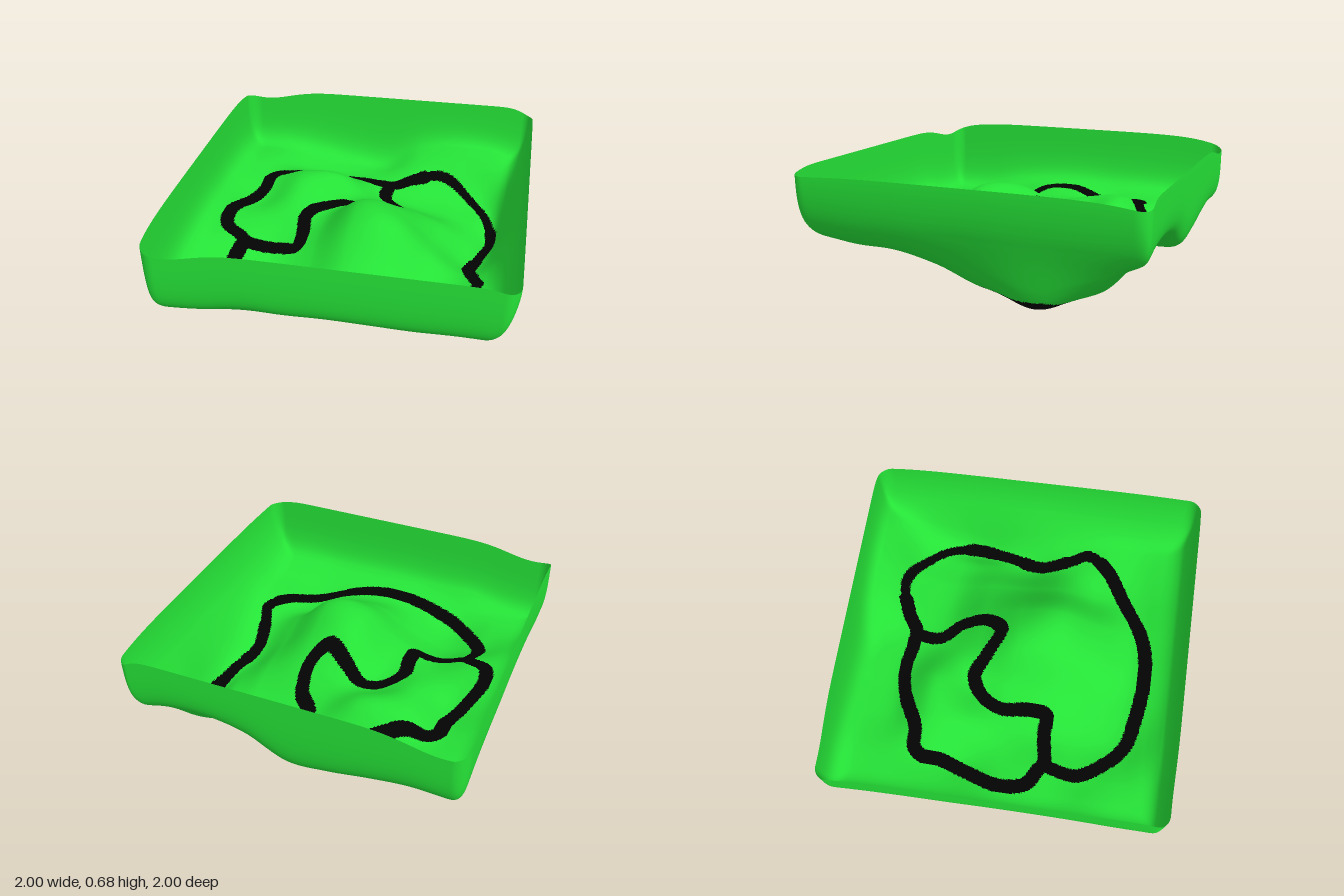
import * as THREE from 'three';

const N = 260;          // cells per side of the sheet
const SPAN = 1.2;       // unfolded half width, floor plus turned-up wall
const STEP = 0.235;     // spacing of the coarse height grid
const CORNER = 0.08;    // plan radius of the four corners

// Where the floor bends into each wall, and how sharply
const steepWall = { floor: 0.85, power: 3 };
const leaningWall = { floor: 0.8, power: 1.5 };

// Coarse floor heights: one row per z (back to front), one column per x
const heights = [
  [.24, .25, .22, .18, .17, .30, .35, .34, .28],
  [.27, .25, .20, .18, .18, .18, .15, .12, .27],
  [.28, .25, .33, .33, .20, .14, .10, .08, .27],
  [.28, .22, .31, .25, .30, .28, .18, .07, .27],
  [.29, .26, .25, .27, .45, .41, .21, .06, .27],
  [.28, .25, .19, .26, .45, .46, .26, .15, .26],
  [.25, .17, .12, .19, .32, .31, .18, .21, .26],
  [.20, .18, .12, .17, .21, .21, .19, .22, .26],
  [.19, .21, .25, .25, .26, .26, .26, .27, .27],
];

// Centre lines of the track as x, z pairs
const loopPoints = [
  [.1, -.66], [.2, -.72], [.4, -.78], [.58, -.71], [.73, -.56], [.79, -.38], [.75, -.15],
  [.69, .08], [.73, .27], [.76, .36], [.68, .49], [.45, .64], [.2, .77], [-.05, .8],
  [-.3, .77], [-.46, .73], [-.6, .6], [-.69, .45], [-.68, .32], [-.67, .25], [-.8, .16],
  [-.83, 0], [-.77, -.2], [-.72, -.35], [-.71, -.48], [-.66, -.53], [-.55, -.54],
  [-.35, -.64], [-.18, -.68], [0, -.66],
];
const innerPoints = [
  [.07, -.65], [.07, -.5], [.17, -.37], [.18, -.2], [.1, -.11], [-.03, -.17], [-.17, -.24],
  [-.3, -.17], [-.36, -.05], [-.34, .1], [-.35, .23], [-.45, .23], [-.66, .26],
];

const cubic = (a, b, c, d, t) =>
  b + 0.5 * t * (c - a + t * (2 * a - 5 * b + 4 * c - d + t * (3 * (b - c) + d - a)));

const bump = (x, centre, radius) => Math.exp(-(((x - centre) / radius) ** 2));

// Smooth floor height, with a deep pocket under the right bend
function floorHeight(x, z) {
  const clamp = THREE.MathUtils.clamp;
  const gx = clamp(x / STEP + 4, 0, 7.999), gz = clamp(z / STEP + 4, 0, 7.999);
  const i = Math.floor(gx), j = Math.floor(gz);
  const at = (r, c) => heights[clamp(r, 0, 8)][clamp(c, 0, 8)];
  const row = (r) => cubic(at(r, i - 1), at(r, i), at(r, i + 1), at(r, i + 2), gx - i);
  const y = cubic(row(j - 1), row(j), row(j + 1), row(j + 2), gz - j);
  return y - 0.14 * bump(x, 0.8, 0.09) * bump(z, -0.36, 0.24);
}

// Wavy top edge, lower towards the corners
function rimHeight(x, z) {
  const ends = 0.66 + 0.015 * x - 0.065 * bump(x, -0.88, 0.24)
    - (z < 0 ? 0.055 : 0.03) * bump(x, 1, 0.12);
  return THREE.MathUtils.lerp(0.66 - 0.02 * z ** 4, ends, z ** 8);
}

// Fold a flat sheet coordinate: plan position and progress up the wall
function fold(p, { floor, power }) {
  const s = Math.max(0, (Math.abs(p) - floor) / (SPAN - floor));
  const pos = s > 0 ? Math.sign(p) * (floor + (1 - floor) * (1 - (1 - s) ** power)) : p;
  return [pos, s];
}

// Bend the square corners of the plan into quarter circles
function roundCorner(x, z) {
  const inner = 1 - CORNER;
  const a = (Math.abs(x) - inner) / CORNER, b = (Math.abs(z) - inner) / CORNER;
  if (a <= 0 || b <= 0) return [x, z];
  return [Math.sign(x) * (inner + CORNER * a * Math.sqrt(1 - b * b / 2)),
    Math.sign(z) * (inner + CORNER * b * Math.sqrt(1 - a * a / 2))];
}

function sheetPoint(u, v) {
  const [fx, sx] = fold(u, u > 0 ? leaningWall : steepWall);
  const [fz, sz] = fold(v, steepWall);
  const [x, z] = roundCorner(fx, fz);
  const wall = Math.min(1, (sx ** 4 + sz ** 4) ** 0.25) ** 2.1;
  const y = THREE.MathUtils.lerp(floorHeight(x, z), rimHeight(x, z), wall);
  // slightly crooked outline
  const px = x > 0.85 ? x - 0.013 * (1 - z) * (x - 0.85) / 0.15 : x;
  const pz = z > 0.85 ? z - 0.012 * (1 - x) * (z - 0.85) / 0.15 : z;
  return [px, y, pz];
}

// Evenly spaced samples along the track
function trackSamples() {
  const curve = (pts, closed) => new THREE.CatmullRomCurve3(
    pts.map(([x, z]) => new THREE.Vector3(x, 0, z)), closed, 'centripetal');
  return [...curve(loopPoints, true).getSpacedPoints(420),
    ...curve(innerPoints, false).getSpacedPoints(180)];
}

// The track narrows around the far right bend
function trackRadius(p) {
  if (p.x > 0.3 && p.z < -0.45) return 0.028;
  return p.x > 0.72 ? 0.034 : 0.042;
}

export function createModel() {
  const grass = new THREE.MeshStandardMaterial({ color: 0x25e237, side: THREE.DoubleSide });
  grass.name = 'grass green';
  const asphalt = new THREE.MeshStandardMaterial({ color: 0x030303, side: THREE.DoubleSide });
  asphalt.name = 'track black';

  // Sheet vertices
  const positions = [];
  for (let j = 0; j <= N; j++) {
    for (let i = 0; i <= N; i++) {
      positions.push(...sheetPoint((i / N * 2 - 1) * SPAN, (j / N * 2 - 1) * SPAN));
    }
  }

  // Sort the triangles into track and ground
  const samples = trackSamples();
  const onTrack = (x, z) => samples.some((p) =>
    (p.x - x) ** 2 + (p.z - z) ** 2 < trackRadius(p) ** 2);
  const groundIndex = [], trackIndex = [], allIndex = [];
  const addFace = (...f) => {
    const mean = (k) => f.reduce((sum, n) => sum + positions[n * 3 + k], 0) / 3;
    const x = mean(0), z = mean(2);
    const inside = Math.abs(x) < 0.9 && Math.abs(z) < 0.9 && onTrack(x, z);
    (inside ? trackIndex : groundIndex).push(...f);
    allIndex.push(...f);
  };
  for (let j = 0; j < N; j++) {
    for (let i = 0; i < N; i++) {
      const a = j * (N + 1) + i, b = a + N + 1;
      addFace(a, b, a + 1);
      addFace(b, b + 1, a + 1);
    }
  }

  // Shared smooth normals keep the surface continuous across the colours
  const sheet = new THREE.BufferGeometry();
  sheet.setAttribute('position', new THREE.Float32BufferAttribute(positions, 3));
  sheet.setIndex(allIndex);
  sheet.computeVertexNormals();
  sheet.computeBoundingBox();
  sheet.translate(0, -sheet.boundingBox.min.y, 0);

  const group = new THREE.Group();
  group.name = 'terrainTray';
  const addPart = (name, index, material) => {
    const geometry = new THREE.BufferGeometry();
    geometry.setAttribute('position', sheet.attributes.position);
    geometry.setAttribute('normal', sheet.attributes.normal);
    geometry.setIndex(index);
    const mesh = new THREE.Mesh(geometry, material);
    mesh.name = name;
    group.add(mesh);
  };
  addPart('ground', groundIndex, grass);
  addPart('track', trackIndex, asphalt);
  return group;
}
